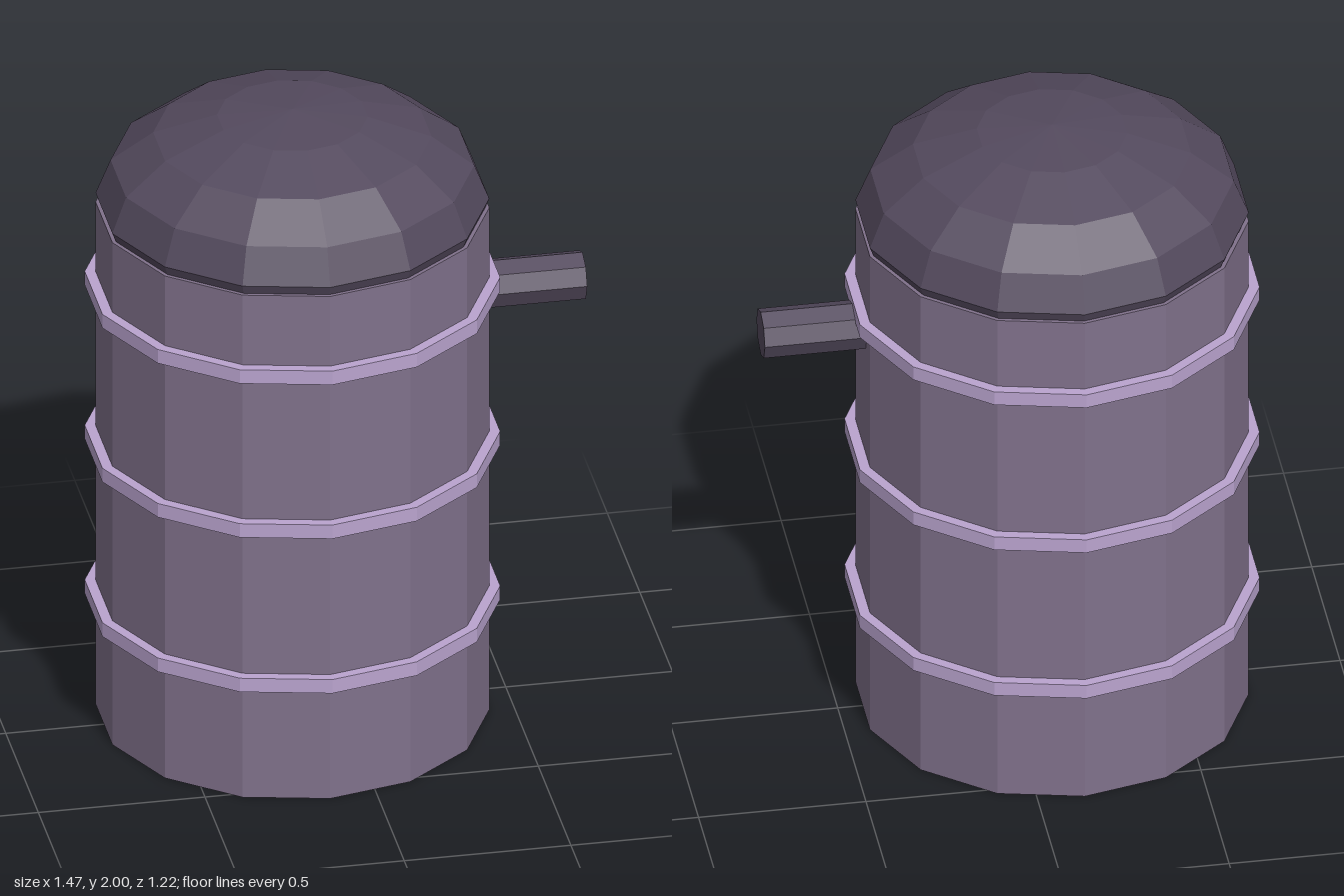
import * as THREE from 'three';

const SIDES = 14;
const CENTER_X = -0.14;

export function createModel() {
  const model = new THREE.Group();
  model.name = 'barrel';

  const material = (name, color) => {
    const m = new THREE.MeshStandardMaterial({ color, flatShading: true });
    m.name = name;
    return m;
  };
  const bodyPurple = material('body purple', 0x80718b);
  const bandLilac = material('band lilac', 0xbaa4cf);
  const darkPurple = material('dark purple', 0x544a5e);

  const add = (name, geometry, mat, x, y) => {
    const mesh = new THREE.Mesh(geometry, mat);
    mesh.name = name;
    mesh.position.set(x, y, 0);
    model.add(mesh);
    return mesh;
  };

  // Drum
  add('body', new THREE.CylinderGeometry(0.58, 0.58, 1.68, SIDES), bodyPurple, CENTER_X, 0.84);

  // Raised hoops
  [0.392, 0.909, 1.424].forEach((y, i) => {
    add(`band${i + 1}`, new THREE.CylinderGeometry(0.612, 0.612, 0.046, SIDES), bandLilac, CENTER_X, y);
  });

  // Flattened dome lid, its lower edge tucked into the drum
  const profile = [];
  for (let i = 5; i >= 0; i--) {
    const a = (i * Math.PI) / 8;
    profile.push(new THREE.Vector2(0.58 * Math.sin(a), 0.29 * Math.cos(a)));
  }
  add('lid', new THREE.LatheGeometry(profile, SIDES), darkPurple, CENTER_X, 1.71);

  // Side spout
  const spout = add('spout', new THREE.CylinderGeometry(0.075, 0.075, 0.36, 8), darkPurple, 0.55, 1.356);
  spout.rotation.z = -Math.PI / 2;

  return model;
}
